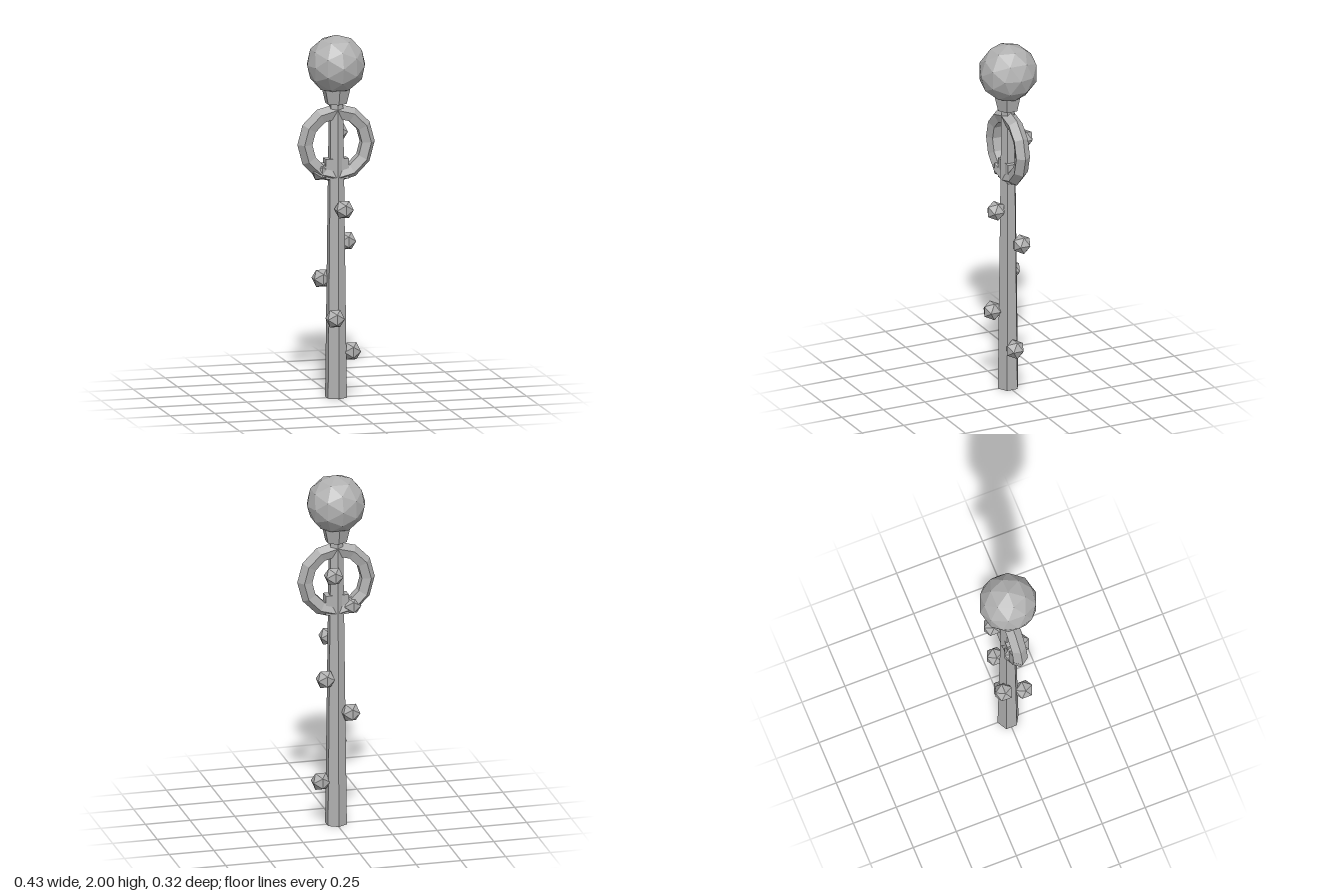
import * as THREE from 'three';

export function createModel() {
  const group = new THREE.Group();
  const grey = new THREE.MeshStandardMaterial({ color: 0xb0b0b0, flatShading: true });
  grey.name = 'grey';

  const add = (name, geometry, x, y, z) => {
    const mesh = new THREE.Mesh(geometry, grey);
    mesh.name = name;
    mesh.position.set(x, y, z);
    group.add(mesh);
    return mesh;
  };

  // Tapered six-sided pole
  const poleHeight = 1.64;
  add('shaft', new THREE.CylinderGeometry(0.04, 0.061, poleHeight, 6), 0, poleHeight / 2, 0);

  // Flared socket holding the faceted orb
  add('collar', new THREE.CylinderGeometry(0.086, 0.06, 0.108, 6), 0, 1.676, 0);
  add('orb', new THREE.IcosahedronGeometry(0.162, 1), 0, 1.838, 0);

  // Upright ring threaded by the pole, with a clasp at its foot
  add('ring', new THREE.TorusGeometry(0.174, 0.043, 5, 12), 0, 1.403, 0);
  add('clasp', new THREE.BoxGeometry(0.128, 0.11, 0.06), 0, 1.265, 0);

  // Small gems spiralling up the pole
  const gem = new THREE.IcosahedronGeometry(0.055, 0);
  for (let i = 0; i < 7; i++) {
    const angle = i * 1.9;
    add('gem' + (i + 1), gem, 0.086 * Math.cos(angle), 0.25 + i * 0.2, 0.086 * Math.sin(angle));
  }

  return group;
}
